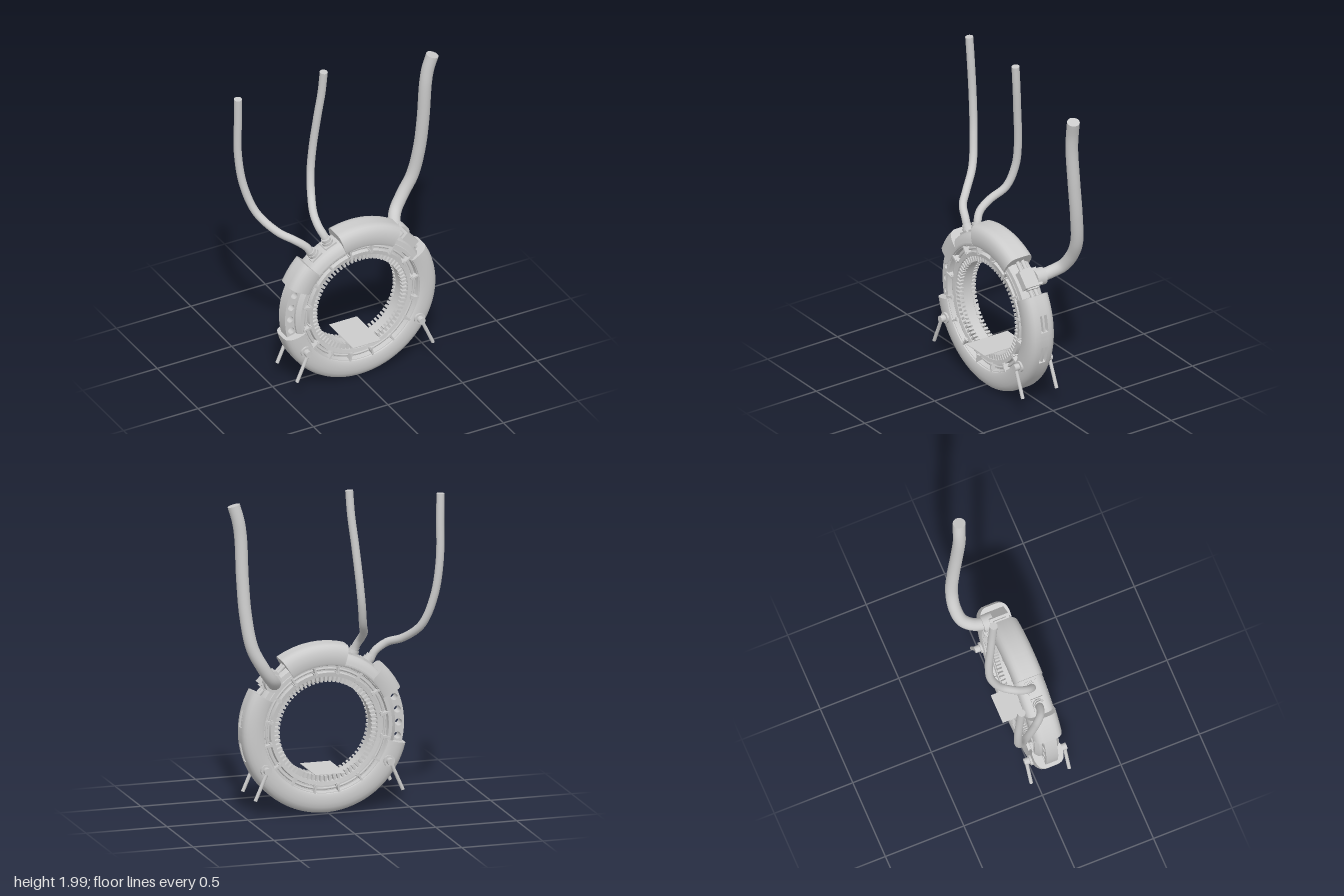
import * as THREE from 'three';
import { mergeGeometries, toCreasedNormals } from 'three/addons/utils/BufferGeometryUtils.js';

const material = new THREE.MeshStandardMaterial({ color: 0xcccccc, side: THREE.DoubleSide });
const rad = THREE.MathUtils.degToRad;
const v = (p) => new THREE.Vector3(...p);

function add(parent, name, geometry) {
  const mesh = new THREE.Mesh(geometry, material);
  mesh.name = name;
  parent.add(mesh);
  return mesh;
}

// Mirrors half a [radius, z] profile (from z > 0) into a closed counter-clockwise loop
const mirrored = (half) => [...half.map(([r, z]) => [r, -z]), ...half.slice().reverse()];

// Sweeps a closed [radius, z] loop around the z axis; the loop may depend on the angle
function sweep(profile, from, to, steps) {
  const loopAt = typeof profile === 'function' ? profile : () => profile;
  const n = loopAt(from).length, pos = [], idx = [];
  for (let i = 0; i <= steps; i++) {
    const deg = from + (to - from) * i / steps, a = rad(deg);
    for (const [r, z] of loopAt(deg)) pos.push(r * Math.cos(a), r * Math.sin(a), z);
  }
  for (let i = 0; i < steps; i++) for (let j = 0; j < n; j++) {
    const a = i * n + j, b = i * n + (j + 1) % n;
    idx.push(a, a + n, b, a + n, b + n, b);
  }
  if (to - from < 360) {
    const tris = THREE.ShapeUtils.triangulateShape(loopAt(from).map((p) => new THREE.Vector2(...p)), []);
    for (const [a, b, c] of tris) idx.push(a, b, c, steps * n + a, steps * n + c, steps * n + b);
  }
  const g = new THREE.BufferGeometry();
  g.setAttribute('position', new THREE.Float32BufferAttribute(pos, 3));
  g.setIndex(idx);
  return toCreasedNormals(g, rad(32));
}

// Cylinder between two points
function rod(p, q, r, sides = 20) {
  const a = v(p), b = v(q), d = b.clone().sub(a);
  const g = new THREE.CylinderGeometry(r, r, d.length(), sides);
  g.applyQuaternion(new THREE.Quaternion().setFromUnitVectors(new THREE.Vector3(0, 1, 0), d.normalize()));
  const m = a.add(b).multiplyScalar(0.5);
  return g.translate(m.x, m.y, m.z);
}

// Box spanning r0..r1 and z0..z1, turned to an angle around the ring
function radialBox(r0, r1, width, z0, z1, deg) {
  return new THREE.BoxGeometry(r1 - r0, width, Math.abs(z1 - z0))
    .translate((r0 + r1) / 2, 0, (z0 + z1) / 2).rotateZ(rad(deg));
}

const polar = (r, deg, z) => [r * Math.cos(rad(deg)), r * Math.sin(rad(deg)), z];

// Rounded shell section for a given outer radius; "dent" sinks the middle of the rim
const shell = (R, dent = 0) => mirrored([
  [0.385, 0.07], [0.39, 0.084], [0.405, 0.09], [R - 0.065, 0.09], [R - 0.04, 0.085], [R - 0.02, 0.076],
  [R - 0.007, 0.062], [R - 0.001, 0.045], [R, 0.024], [R - dent, 0.022],
]);

export function createModel() {
  const model = new THREE.Group();
  model.name = 'ringMachine';
  const ring = new THREE.Group();
  ring.name = 'ring';
  ring.position.set(0.013, 0.52, 0.073);
  model.add(ring);

  // Core with a groove on each face
  add(ring, 'core', sweep(mirrored([
    [0.288, 0.03], [0.317, 0.034], [0.319, 0.064], [0.343, 0.068], [0.348, 0.045],
    [0.38, 0.045], [0.384, 0.076], [0.405, 0.076], [0.43, 0.055],
  ]), 0, 360, 120));

  // Teeth, clips and rib lines on both faces
  const teeth = [], clips = [], ribs = [];
  for (const s of [1, -1]) {
    for (let i = 0; i < 72; i++) teeth.push(radialBox(0.285, 0.32, 0.014, s * 0.028, s * 0.06, i * 5));
    for (let i = 0; i < 16; i++) {
      clips.push(radialBox(0.337, 0.396, 0.011, s * 0.045, s * 0.084, 11.25 + i * 22.5));
      clips.push(radialBox(0.34, 0.353, 0.024, s * 0.045, s * 0.08, 11.25 + i * 22.5));
    }
    ribs.push(new THREE.TorusGeometry(0.364, 0.007, 8, 96).translate(0, 0, s * 0.049));
  }
  add(ring, 'teeth', mergeGeometries(teeth));
  add(ring, 'clips', mergeGeometries(clips));
  add(ring, 'grooveRibs', mergeGeometries(ribs));

  // Outer shells; the large one has two slots in its rim
  const slots = [10, -13.5];
  const inSlot = (deg) => slots.some((s) => Math.abs(deg - 360 - s) < 6);
  add(ring, 'mainShell', sweep((deg) => shell(0.512, inSlot(deg) ? 0.03 : 0), 194, 390, 196));
  for (const s of slots) {
    add(ring, 'slotBar', sweep([[0.47, -0.007], [0.507, -0.007], [0.507, 0.007], [0.47, 0.007]], s - 6, s + 6, 12));
  }
  add(ring, 'topShell', sweep(shell(0.513), 58, 106, 48));
  add(ring, 'hoseShell', sweep(shell(0.462), 106, 136, 30));
  add(ring, 'sideShell', sweep(shell(0.513), 135, 154.5, 20));

  // Perforated plate in the side opening
  const plate = new THREE.Shape();
  plate.absarc(0, 0, 0.49, rad(153), rad(195), false);
  plate.absarc(0, 0, 0.4, rad(195), rad(153), true);
  for (const deg of [160, 170, 180, 190]) {
    const hole = new THREE.Path(), [x, y] = polar(0.456, deg, 0);
    hole.absarc(x, y, 0.021, 0, Math.PI * 2, true);
    plate.holes.push(hole);
  }
  add(ring, 'perforatedPlate', new THREE.ExtrudeGeometry(plate,
    { depth: 0.075, bevelEnabled: false, curveSegments: 24 }).translate(0, 0, -0.0375));

  // Thin hose sockets
  for (const deg of [126, 113]) {
    add(ring, 'socketBase', radialBox(0.44, 0.472, 0.08, -0.035, 0.04, deg));
    add(ring, 'socket', rod(polar(0.45, deg, 0), polar(0.49, deg, 0), 0.034));
    add(ring, 'socketCollar', rod(polar(0.45, deg, 0), polar(0.51, deg, 0), 0.028));
  }

  // Thick hose mount in the upper opening
  add(ring, 'mountSeat', sweep(mirrored([[0.39, 0.075], [0.435, 0.07], [0.45, 0.045]]), 29, 59, 20));
  add(ring, 'mountBlock', radialBox(0.4, 0.492, 0.11, -0.065, 0.055, 43));
  add(ring, 'mountCap', radialBox(0.4, 0.475, 0.13, -0.045, 0.035, 43));
  for (const z of [-0.022, 0.012]) {
    add(ring, 'mountPin', rod(polar(0.467, 60, z), polar(0.467, 28, z), 0.012, 12));
  }
  add(ring, 'mountFlange', rod([0.335, 0.31, -0.105], [0.335, 0.31, -0.04], 0.053, 28));

  // Hinged levers, on both sides and both faces
  for (const x of [-1, 1]) for (const s of [1, -1]) {
    const lever = new THREE.Group();
    lever.name = 'lever';
    lever.position.set(x * 0.38, -0.215, 0);
    ring.add(lever);
    add(lever, 'leverBase', rod([0, 0, s * 0.06], [0, 0, s * 0.102], 0.034));
    add(lever, 'leverPivot', rod([0, 0, s * 0.1], [0, 0, s * 0.134], 0.021));
    add(lever, 'leverRod', rod([0, 0, s * 0.121], [x * 0.076, -0.174, s * 0.121], 0.011, 12));
  }

  // Hoses rising from the ring
  const hoses = {
    leftHose: [0.024, [-0.277, 0.9, 0.07], [-0.305, 0.955, 0.065], [-0.37, 1.01, 0.04], [-0.445, 1.05, -0.035],
      [-0.53, 1.15, -0.14], [-0.59, 1.33, -0.19], [-0.62, 1.55, -0.205], [-0.626, 1.8, -0.195], [-0.63, 1.95, -0.187]],
    middleHose: [0.024, [-0.17, 0.95, 0.07], [-0.188, 1.0, 0.06], [-0.205, 1.045, 0.03], [-0.203, 1.1, -0.04],
      [-0.17, 1.17, -0.13], [-0.147, 1.3, -0.18], [-0.13, 1.45, -0.188], [-0.108, 1.68, -0.168], [-0.09, 1.85, -0.15],
      [-0.082, 2.0, -0.137]],
    rightHose: [0.038, [0.348, 0.83, 0.02], [0.35, 0.833, -0.03], [0.365, 0.85, -0.09], [0.4, 0.885, -0.14],
      [0.46, 0.97, -0.162], [0.522, 1.09, -0.155], [0.555, 1.28, -0.13], [0.567, 1.5, -0.105], [0.572, 1.75, -0.085],
      [0.585, 1.85, -0.08], [0.61, 1.945, -0.07]],
  };
  for (const [name, [radius, ...points]] of Object.entries(hoses)) {
    const curve = new THREE.CatmullRomCurve3(points.map(v));
    add(model, name, new THREE.TubeGeometry(curve, 90, radius, 20));
    const end = curve.getPoint(1), dir = curve.getTangent(1);
    const cap = add(model, name + 'End', new THREE.CircleGeometry(radius, 20));
    cap.position.copy(end);
    cap.quaternion.setFromUnitVectors(new THREE.Vector3(0, 0, 1), dir);
  }

  // Flat platform through the opening
  add(model, 'platform', new THREE.BoxGeometry(0.186, 0.004, 0.295).translate(0.014, 0.267, 0.07));
  return model;
}
